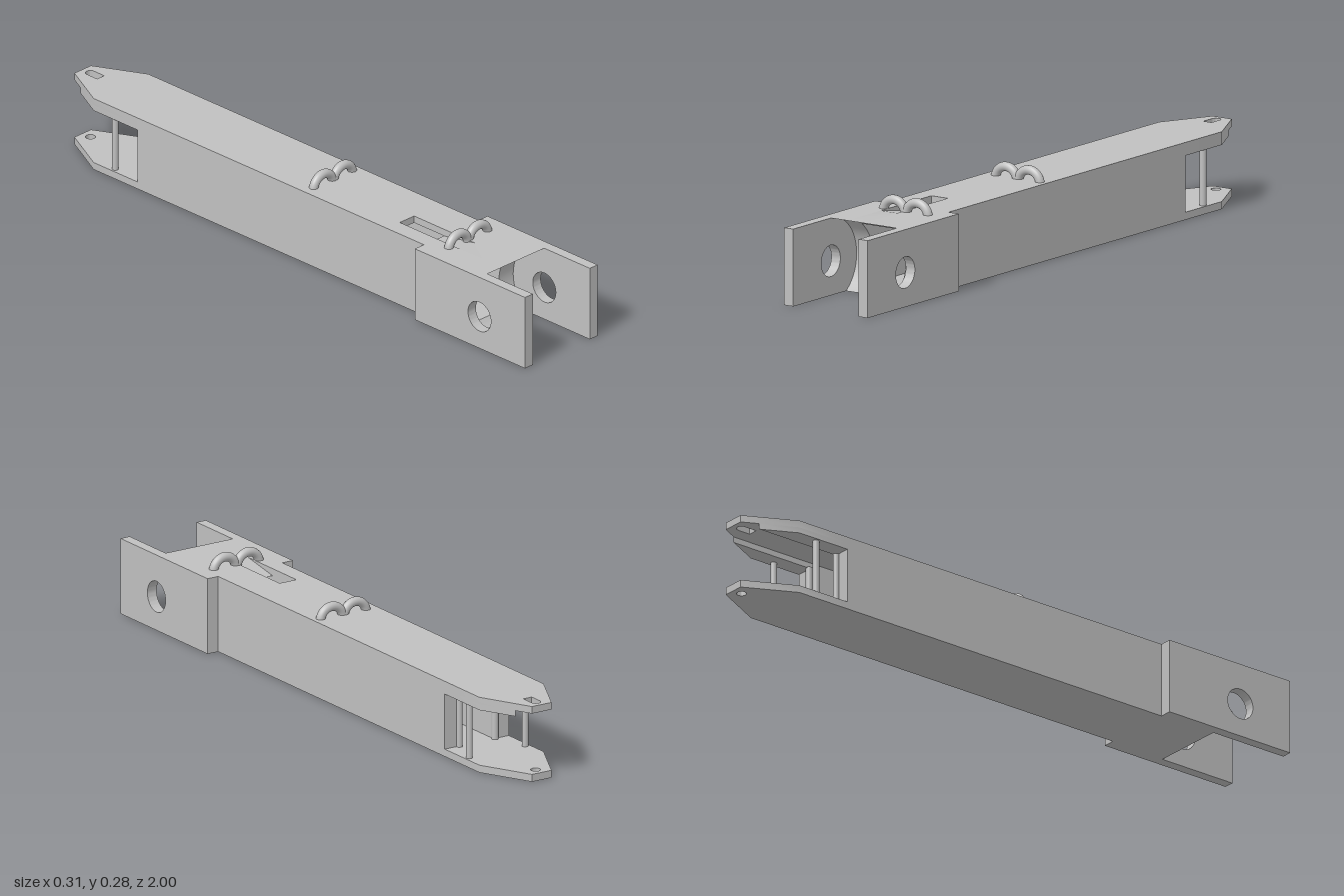
import * as THREE from 'three';
import { toCreasedNormals } from 'three/addons/utils/BufferGeometryUtils.js';

const H = 0.235, ROOF = 0.213, FLOOR = 0.023;   // height and inner channel limits
const BODY = 0.115, CORE = 0.12, FORK = 0.153, CH = 0.06; // half widths
const STEP = 0.54, MOUTH = -0.657;              // clevis start, rear opening
const PZ = 0.81, PY = 0.105, R = 0.13;          // pivot centre and relief radius

export function createModel() {
  const model = new THREE.Group();
  const steel = new THREE.MeshStandardMaterial({ color: 0xc0c0c0 });
  steel.name = 'grey steel';

  const add = (name, geo) => {
    const mesh = new THREE.Mesh(geo, steel);
    mesh.name = name;
    model.add(mesh);
    return mesh;
  };
  const shapeOf = (pts, hole) => {
    const s = new THREE.Shape(pts.map(([a, b]) => new THREE.Vector2(a, b)));
    if (hole) s.holes.push(hole);
    return s;
  };
  const extrude = (shape, depth) =>
    new THREE.ExtrudeGeometry(shape, { depth, bevelEnabled: false, curveSegments: 24 });
  // (z, y) profile spanning x0..x1
  const side = (name, pts, x0, x1, hole) => {
    const g = extrude(shapeOf(pts, hole), x1 - x0).rotateY(-Math.PI / 2).translate(x1, 0, 0);
    return add(name, toCreasedNormals(g, 0.5));
  };
  // (x, -z) outline spanning y0..y1
  const plan = (name, pts, y0, y1, hole) => {
    const g = extrude(shapeOf(pts, hole), y1 - y0).rotateX(-Math.PI / 2).translate(0, y0, 0);
    return add(name, toCreasedNormals(g, 0.5));
  };
  // Concave relief around the pivot, from height ya up to yb
  const relief = (ya, yb, n) => {
    const a = Math.asin((ya - PY) / R), b = Math.asin(Math.min(1, (yb - PY) / R));
    return Array.from({ length: n + 1 }, (_, i) => {
      const t = a + (b - a) * i / n;
      return [PZ - R * Math.cos(t), PY + R * Math.sin(t)];
    });
  };
  const circle = (x, y, r) => new THREE.Path().absarc(x, y, r, 0, Math.PI * 2, true);
  const rect = (z0, z1, y0, y1) => [[z0, y0], [z1, y0], [z1, y1], [z0, y1]];

  for (const s of [-1, 1]) {
    const span = (a, b) => (s > 0 ? [a, b] : [-b, -a]);
    // Long side walls and the relieved core of the clevis
    side('sideWall', rect(MOUTH, STEP, 0, H), ...span(CH, BODY));
    side('clevisCore', [[STEP, 0], ...relief(0, H, 32), [STEP, H]], ...span(CH, CORE));
    // Clevis cheeks with pivot holes
    side('clevisCheek', rect(STEP, 1, 0, H), ...span(CORE, FORK), circle(PZ, PY, 0.048));
    // Rails below the upper rear plate
    const rail = [[CH, -MOUTH], [BODY, -MOUTH], [BODY, 0.84], [CH, 0.95]];
    plan('rearRail', rail.map(([x, z]) => [s * x, z]), 0.195, ROOF);
    // Vertical guide pins in the rear opening
    for (const [x, z] of [[0.1, -0.765], [0.064, -0.659]]) {
      add('guidePin', new THREE.CylinderGeometry(0.01, 0.01, 0.18, 20))
        .position.set(s * x, 0.108, z);
    }
  }

  // Floor and roof of the channel, with a ramped pocket in the roof
  side('channelFloor', [[MOUTH, 0], ...relief(0, FLOOR, 6), [MOUTH, FLOOR]], -CH, CH);
  side('channelRoof', [[MOUTH, ROOF], ...relief(ROOF, H, 12), [MOUTH, H]], 0, CH);
  side('roofBehindPocket', rect(MOUTH, 0.385, ROOF, H), -CH, 0);
  side('pocketRamp', [[0.51, ROOF], ...relief(ROOF, H, 12), [0.64, H]], -CH, 0);

  // Tapered rear plates: slot above, round hole below
  const tip = [[-BODY, -MOUTH], [BODY, -MOUTH], [BODY, 0.84], [0.035, 1], [-0.035, 1], [-BODY, 0.84]];
  const slot = new THREE.Path();
  slot.moveTo(-0.015, 0.925);
  slot.lineTo(-0.015, 0.968);
  slot.absarc(0, 0.968, 0.015, Math.PI, 0, true);
  slot.lineTo(0.015, 0.925);
  slot.closePath();
  plan('upperRearPlate', tip, ROOF, H, slot);
  plan('lowerRearPlate', tip, 0, FLOOR, circle(0, 0.968, 0.015));

  // Paired hose loops on the roof
  for (const z of [0.04, 0.605]) {
    for (const x of [-0.036, 0.048]) {
      add('hoseLoop', new THREE.TorusGeometry(0.04, 0.014, 16, 32, Math.PI))
        .position.set(x, 0.226, z);
    }
  }
  return model;
}
